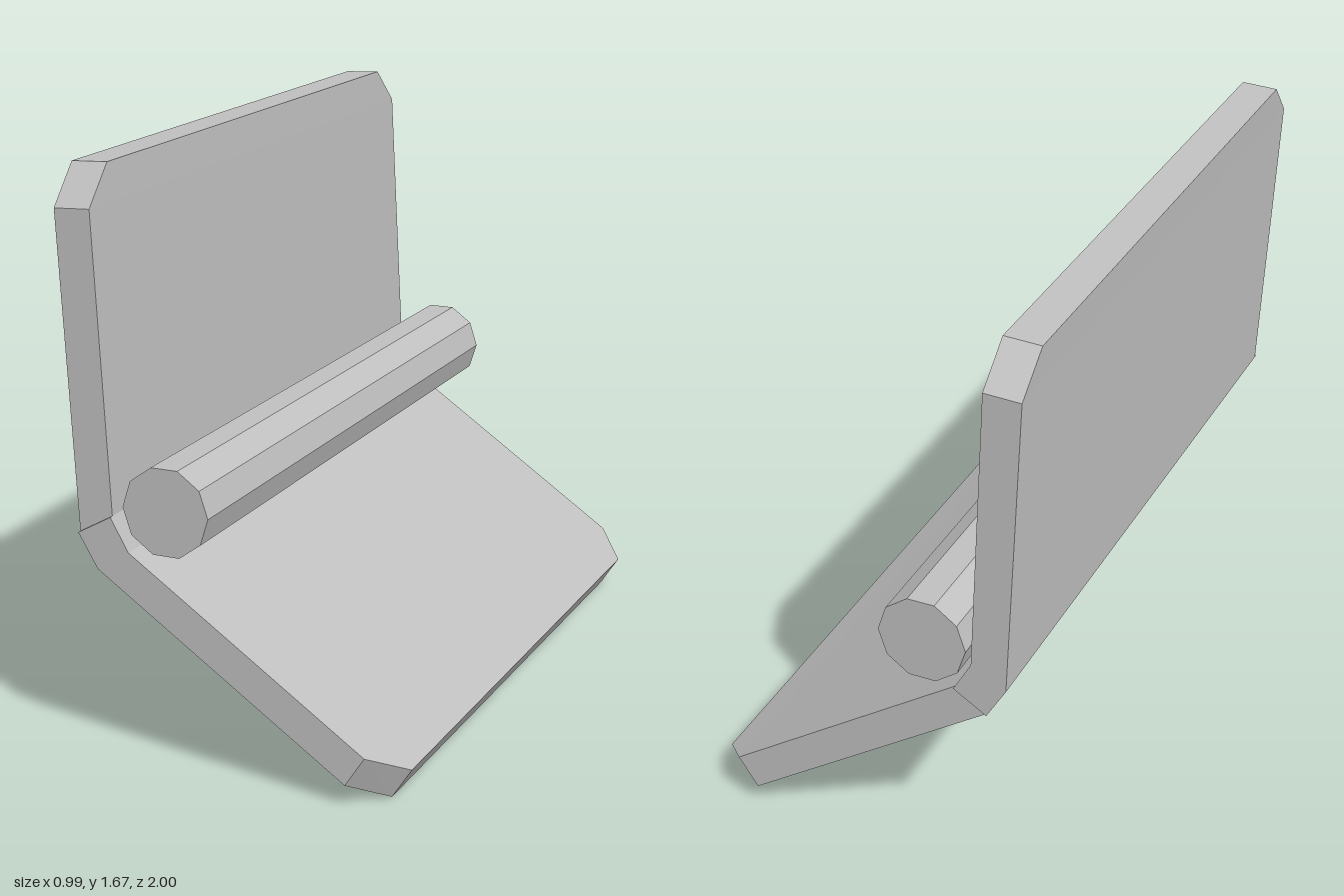
import * as THREE from 'three';

const steel = new THREE.MeshStandardMaterial({ color: 0xc0c0c0 });
steel.name = 'steelGrey';

// Flat-faced plate lofted through stations: [outerX, outerY, innerX, innerY, zMin, zMax]
function plate(stations) {
  const rings = stations.map(([ox, oy, ix, iy, z0, z1]) => [
    [ox, oy, z0], [ix, iy, z0], [ix, iy, z1], [ox, oy, z1],
  ]);
  const pos = [];
  const quad = (a, b, c, d) => pos.push(...a, ...b, ...c, ...a, ...c, ...d);
  for (let s = 0; s < rings.length - 1; s++) {
    const a = rings[s], b = rings[s + 1];
    for (let i = 0; i < 4; i++) {
      const j = (i + 1) % 4;
      quad(a[i], a[j], b[j], b[i]);
    }
  }
  const first = rings[0], last = rings[rings.length - 1];
  quad(first[0], first[3], first[2], first[1]);
  quad(...last);
  const geo = new THREE.BufferGeometry();
  geo.setAttribute('position', new THREE.Float32BufferAttribute(pos, 3));
  geo.computeVertexNormals();
  return geo;
}

export function createModel() {
  const group = new THREE.Group();
  group.name = 'hinge';
  const add = (name, geo) => {
    const mesh = new THREE.Mesh(geo, steel);
    mesh.name = name;
    group.add(mesh);
    return mesh;
  };

  // Both leaves share the bent elbow, slightly offset from each other along z
  const bend = [-0.45, 0.665, -0.348, 0.722];
  const elbow = [-0.392, 0.567, -0.295, 0.628];

  // Upright leaf with chamfered top corners
  add('uprightLeaf', plate([
    [-0.5, 1.665, -0.392, 1.67, -0.89, 0.88],
    [-0.494, 1.558, -0.387, 1.563, -1, 0.988],
    [...bend, -1, 0.988],
    [...elbow, -1, 0.988],
  ]));

  // Sloping leaf with chamfered front corners
  add('slopingLeaf', plate([
    [...bend, -0.988, 1],
    [...elbow, -0.988, 1],
    [0.345, 0.064, 0.402, 0.152, -0.988, 1],
    [0.435, 0, 0.493, 0.09, -0.88, 0.89],
  ]));

  // Ten-sided pin lying in the fold
  const pin = new THREE.CylinderGeometry(0.13, 0.13, 1.955, 10, 1, false, Math.PI / 10).toNonIndexed();
  pin.rotateX(Math.PI / 2);
  pin.computeVertexNormals();
  add('pin', pin).position.set(-0.195, 0.746, -0.006);

  return group;
}
